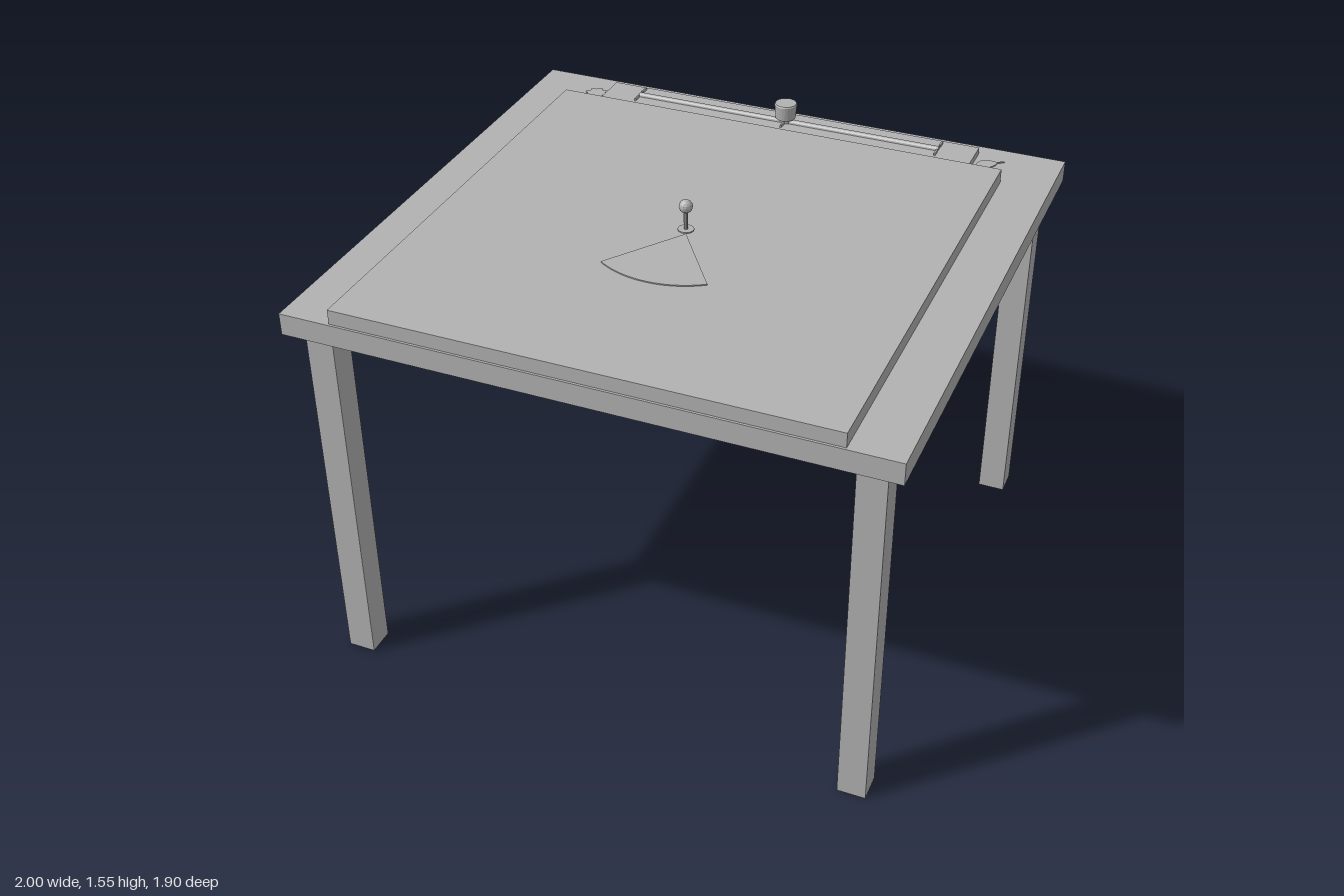
import * as THREE from 'three';

export function createModel() {
  const model = new THREE.Group();
  const grey = new THREE.MeshStandardMaterial({ color: 0xb2b2b2, flatShading: true, side: THREE.DoubleSide });
  grey.name = 'plainGrey';

  const add = (name, geometry, x = 0, y = 0, z = 0) => {
    const mesh = new THREE.Mesh(geometry, grey);
    mesh.name = name;
    mesh.position.set(x, y, z);
    model.add(mesh);
    return mesh;
  };
  // Box given by its lower and upper limits on each axis
  const block = (name, x0, x1, y0, y1, z0, z1) =>
    add(name, new THREE.BoxGeometry(x1 - x0, y1 - y0, z1 - z0), (x0 + x1) / 2, (y0 + y1) / 2, (z0 + z1) / 2);
  // Thin horizontal plate; shape coordinates are (x, z)
  const plate = (name, shape, x, y, z) => {
    const g = new THREE.ExtrudeGeometry(shape, { depth: 0.004, bevelEnabled: false, curveSegments: 16 });
    return add(name, g.rotateX(Math.PI / 2), x, y + 0.004, z);
  };

  // Table top and raised board
  block('tableTop', -1, 1, 1.3, 1.375, -0.95, 0.95);
  block('board', -0.827, 0.827, 1.375, 1.425, -0.715, 0.942);

  // Hollow legs, open at the foot
  for (const sx of [-1, 1]) for (const sz of [-1, 1]) {
    const g = new THREE.BoxGeometry(0.095, 1.3, 0.095);
    const index = Array.from(g.index.array);
    index.splice(18, 6);
    g.setIndex(index);
    g.clearGroups();
    add('leg', g, sx * 0.896, 0.65, sz * 0.86);
  }

  // Slider panel with rail and tick marks
  const sliderZ = -0.822;
  block('sliderPanel', -0.703, 0.703, 1.375, 1.4, sliderZ - 0.069, sliderZ + 0.069);
  const rail = new THREE.CylinderGeometry(0.012, 0.012, 1.15, 12);
  add('sliderRail', rail.rotateZ(Math.PI / 2), 0, 1.4, sliderZ);
  for (const x of [-0.573, 0, 0.573]) for (const s of [-1, 1])
    block('tickMark', x - 0.003, x + 0.003, 1.4, 1.41, sliderZ + s * 0.034 - 0.017, sliderZ + s * 0.034 + 0.017);

  // Slider knob on a short neck
  const knob = [[0, 1.4], [0.02, 1.4], [0.02, 1.418], [0.036, 1.418], [0.041, 1.47], [0.038, 1.475], [0, 1.475]];
  add('sliderKnob', new THREE.LatheGeometry(knob.map(p => new THREE.Vector2(...p)), 24), 0, 0, sliderZ);

  // Flower mark
  const flower = new THREE.Shape();
  for (let i = 0; i <= 64; i++) {
    const a = i / 64 * Math.PI * 2;
    const r = 0.031 + 0.012 * Math.abs(Math.cos(a * 4));
    flower[i ? 'lineTo' : 'moveTo'](r * Math.cos(a), r * Math.sin(a));
  }
  plate('flowerMark', flower, -0.755, 1.375, sliderZ);

  // Leaf mark with its stem
  const leaf = new THREE.Shape();
  leaf.moveTo(-0.038, 0.027);
  leaf.bezierCurveTo(-0.045, -0.025, -0.01, -0.035, 0.025, -0.026);
  leaf.lineTo(0.047, -0.042);
  leaf.lineTo(0.049, -0.039);
  leaf.lineTo(0.028, -0.022);
  leaf.bezierCurveTo(0.026, 0.015, 0, 0.038, -0.038, 0.027);
  plate('leafMark', leaf, 0.755, 1.375, sliderZ);

  // Fan-shaped sector on the board
  const pinZ = 0.11;
  const half = 0.605;
  const fan = new THREE.Shape();
  fan.moveTo(0, 0);
  fan.absarc(0, 0, 0.318, Math.PI / 2 - half, Math.PI / 2 + half, false);
  fan.lineTo(0, 0);
  plate('fanSector', fan, 0, 1.425, pinZ);

  // Pin with a round head and flat foot
  add('pinFoot', new THREE.CylinderGeometry(0.027, 0.027, 0.005, 16), 0, 1.446, pinZ);
  add('pinStem', new THREE.CylinderGeometry(0.007, 0.007, 0.075, 10), 0, 1.483, pinZ);
  add('pinHead', new THREE.SphereGeometry(0.023, 12, 8), 0, 1.53, pinZ);

  return model;
}
